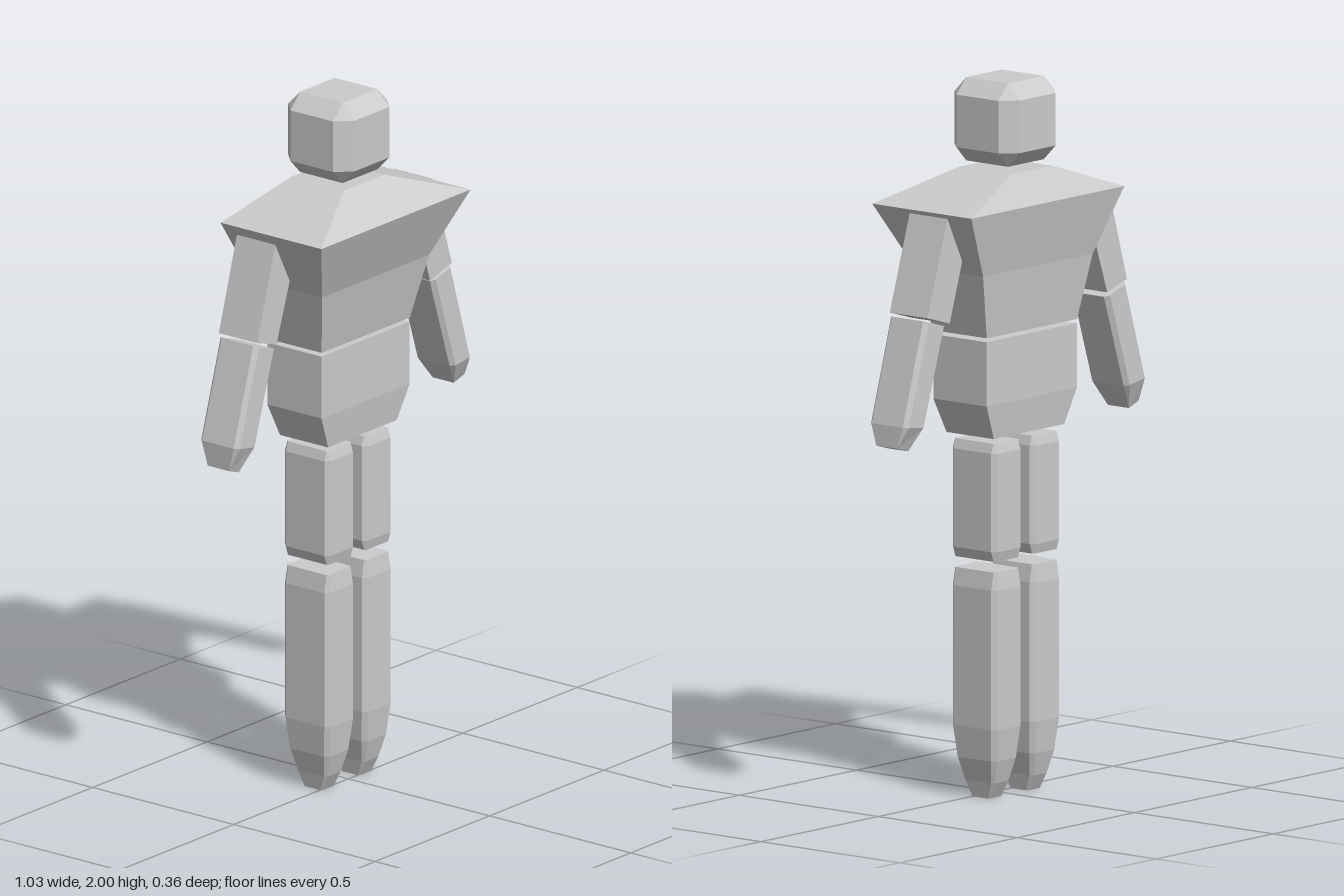
import * as THREE from 'three';

const material = new THREE.MeshStandardMaterial({ color: 0xcccccc, flatShading: true });

// Ring spanning a -> b in the xy plane and z0 -> z1 in depth, corners cut by c.
function ring(a, b, z0, z1, c = 0) {
  const t = c / Math.hypot(b[0] - a[0], b[1] - a[1]);
  const at = (s, z) => [a[0] + (b[0] - a[0]) * s, a[1] + (b[1] - a[1]) * s, z];
  return [
    at(t, z1), at(1 - t, z1), at(1, z1 - c), at(1, z0 + c),
    at(1 - t, z0), at(t, z0), at(0, z0 + c), at(0, z1 - c),
  ];
}

// Horizontal ring.
const level = (y, x0, x1, z0, z1, c) => ring([x0, y], [x1, y], z0, z1, c);

// Closed faceted solid through rings listed from bottom to top.
function loft(name, rings) {
  const pos = [];
  const same = (p, q) => p.every((v, i) => Math.abs(v - q[i]) < 1e-6);
  const tri = (p, q, r) => {
    if (!same(p, q) && !same(q, r) && !same(r, p)) pos.push(...p, ...q, ...r);
  };
  for (let k = 0; k < rings.length - 1; k++) {
    const lo = rings[k], up = rings[k + 1];
    for (let i = 0; i < 8; i++) {
      const j = (i + 1) % 8;
      tri(lo[i], lo[j], up[j]);
      tri(lo[i], up[j], up[i]);
    }
  }
  const bottom = rings[0], top = rings[rings.length - 1];
  for (let i = 1; i < 7; i++) {
    tri(bottom[0], bottom[i + 1], bottom[i]);
    tri(top[0], top[i], top[i + 1]);
  }
  const geometry = new THREE.BufferGeometry();
  geometry.setAttribute('position', new THREE.Float32BufferAttribute(pos, 3));
  geometry.computeVertexNormals();
  const mesh = new THREE.Mesh(geometry, material);
  mesh.name = name;
  return mesh;
}

export function createModel() {
  const model = new THREE.Group();
  model.name = 'blockFigure';

  // Head: cube with all edges bevelled
  model.add(loft('head', [
    level(1.767, -0.09, 0.062, -0.098, 0.053),
    level(1.81, -0.132, 0.104, -0.14, 0.095, 0.042),
    level(1.957, -0.132, 0.104, -0.14, 0.095, 0.042),
    level(2.0, -0.09, 0.062, -0.098, 0.053),
  ]));

  // Torso flaring to wide shoulders
  model.add(loft('torso', [
    level(1.307, -0.203, 0.182, -0.122, 0.07),
    level(1.487, -0.245, 0.222, -0.143, 0.106),
    level(1.667, -0.336, 0.316, -0.18, 0.177),
    level(1.75, -0.1, 0.077, -0.122, 0.066),
  ]));

  // Hips
  model.add(loft('hips', [
    level(1.018, -0.16, 0.14, -0.112, 0.058),
    level(1.116, -0.203, 0.182, -0.122, 0.07),
    level(1.296, -0.203, 0.182, -0.122, 0.07),
  ]));

  // Arms
  const back = -0.11, front = 0.026;
  model.add(loft('rightUpperArm', [
    ring([-0.43, 1.386], [-0.346, 1.36], back, front),
    ring([-0.351, 1.651], [-0.288, 1.529], back, front),
  ]));
  model.add(loft('leftUpperArm', [
    ring([0.325, 1.367], [0.42, 1.395], back, front),
    ring([0.272, 1.534], [0.335, 1.661], back, front),
  ]));
  model.add(loft('rightForearm', [
    ring([-0.515, 1.03], [-0.473, 1.015], -0.08, -0.005),
    ring([-0.518, 1.1], [-0.43, 1.085], back, front, 0.012),
    ring([-0.433, 1.376], [-0.346, 1.346], back, front, 0.012),
  ]));
  model.add(loft('leftForearm', [
    ring([0.467, 1.026], [0.514, 1.04], -0.08, -0.005),
    ring([0.425, 1.09], [0.511, 1.1], back, front, 0.012),
    ring([0.338, 1.36], [0.425, 1.386], back, front, 0.012),
  ]));

  // Legs: thigh and tapered lower leg
  const legRing = (x, y, hx, hz, c) => level(y, x - hx, x + hx, -0.0265 - hz, -0.0265 + hz, c);
  for (const [side, x] of [['right', -0.095], ['left', 0.069]]) {
    model.add(loft(side + 'Thigh', [
      legRing(x, 0.67, 0.052, 0.074, 0.006),
      legRing(x, 0.698, 0.061, 0.081, 0.013),
      legRing(x, 0.973, 0.061, 0.081, 0.013),
      legRing(x, 1.0, 0.052, 0.074, 0.006),
    ]));
    model.add(loft(side + 'LowerLeg', [
      legRing(x, 0, 0.028, 0.032, 0.004),
      legRing(x, 0.045, 0.036, 0.054, 0.008),
      legRing(x, 0.11, 0.052, 0.071, 0.012),
      legRing(x, 0.2, 0.061, 0.081, 0.013),
      legRing(x, 0.59, 0.061, 0.081, 0.013),
      legRing(x, 0.64, 0.052, 0.074, 0.006),
    ]));
  }

  return model;
}
